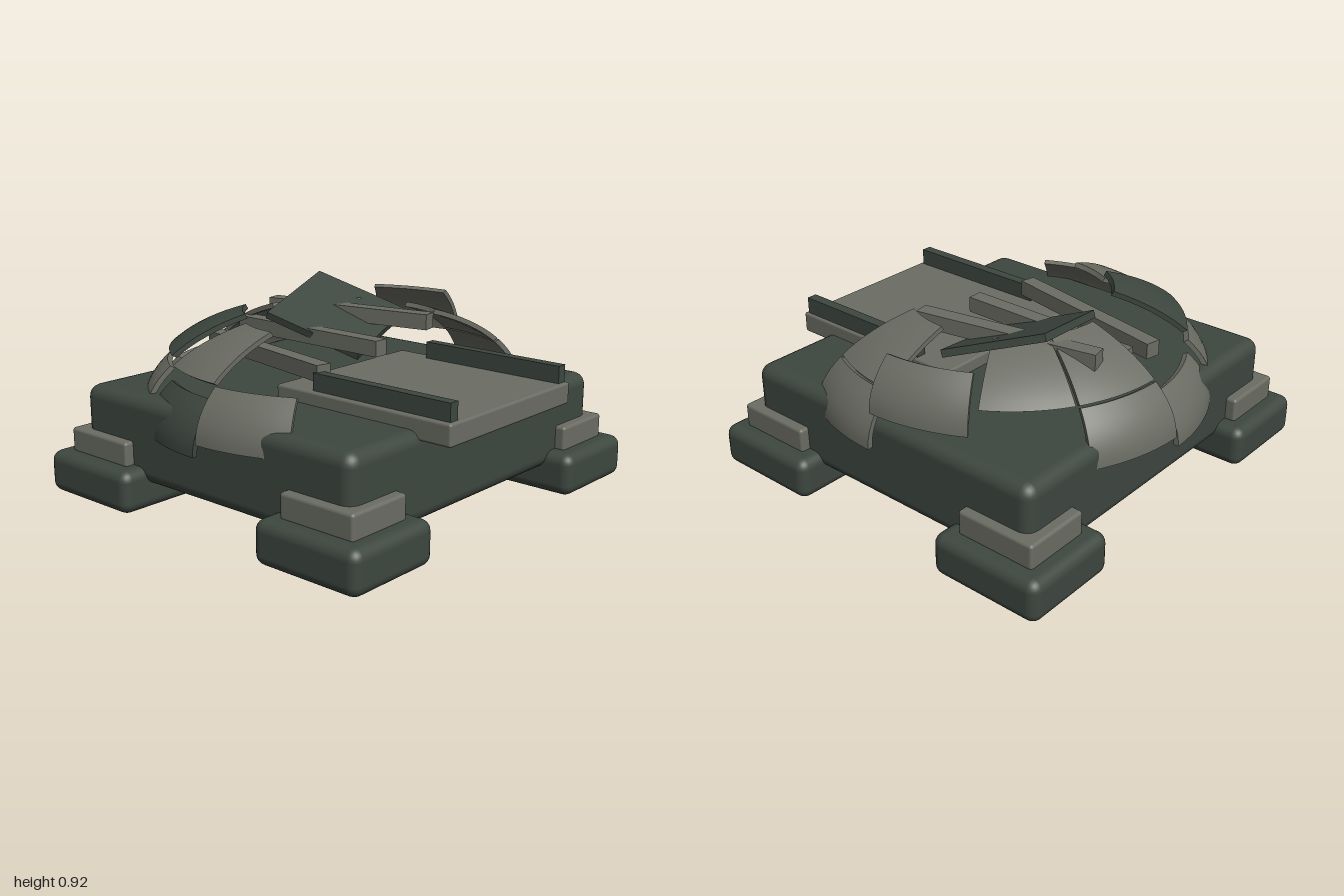
import * as THREE from 'three';
import { RoundedBoxGeometry } from 'three/addons/geometries/RoundedBoxGeometry.js';

const dark = new THREE.MeshStandardMaterial({ color: 0x3e4740 });
dark.name = 'darkGreenMetal';
const light = new THREE.MeshStandardMaterial({ color: 0x6b6d64 });
light.name = 'greyMetal';

// Squashed dome that all the shell panels are cut from
const DOME = { radius: 0.94, height: 0.47, base: 0.41, thickness: 0.025 };
const rad = THREE.MathUtils.degToRad;

// Bends a box into a dome panel: x -> azimuth, y -> latitude, z -> thickness
function panelGeometry(az0, az1, lat0, lat1) {
  const geo = new THREE.BoxGeometry(1, 1, 1, 10, 8, 1);
  const p = geo.attributes.position;
  for (let i = 0; i < p.count; i++) {
    const az = rad(az0 + (p.getX(i) + 0.5) * (az1 - az0));
    const lat = rad(lat0 + (p.getY(i) + 0.5) * (lat1 - lat0));
    const inset = (0.5 - p.getZ(i)) * DOME.thickness;
    const r = (DOME.radius - inset) * Math.cos(lat);
    const y = DOME.base + (DOME.height - inset) * Math.sin(lat);
    p.setXYZ(i, r * Math.cos(az), y, -r * Math.sin(az));
  }
  geo.computeVertexNormals();
  return geo;
}

export function createModel() {
  const model = new THREE.Group();
  model.name = 'brokenDomeBunker';

  const add = (name, geo, mat, x = 0, y = 0, z = 0, parent = model) => {
    const mesh = new THREE.Mesh(geo, mat);
    mesh.name = name;
    mesh.position.set(x, y, z);
    parent.add(mesh);
    return mesh;
  };
  const rounded = (w, h, d, r) => new RoundedBoxGeometry(w, h, d, 3, r);

  // Main slab
  add('base', rounded(1.75, 0.4, 1.64, 0.06), dark, 0, 0.32, -0.012);

  // Corner feet with a pad on each
  for (const sx of [-1, 1]) {
    for (const z of [0.662, -0.688]) {
      const end = z > 0 ? 'front' : 'back';
      add(end + 'Foot', rounded(0.49, 0.2, 0.555, 0.05), dark, sx * 0.755, 0.1, z);
      add(end + 'FootPad', rounded(0.33, 0.12, 0.39, 0.015), light, sx * 0.755, 0.25, z);
    }
  }

  // Entrance ramp with side rails
  add('ramp', rounded(0.89, 0.1, 0.96, 0.012), light, -0.005, 0.53, 0.48);
  for (const sx of [-1, 1]) {
    add('rail', new THREE.BoxGeometry(0.05, 0.08, 0.74), dark, sx * 0.402, 0.62, 0.57);
  }

  // Surviving dome panels: [start azimuth, end azimuth, upper row?, material, lift]
  const panels = [
    [-28, 0, false, light, 0],
    [-28, 0, true, light, 0],
    [1.2, 29.5, false, light, 0.185],
    [30.6, 59.4, true, light, 0],
    [60.6, 89.4, false, light, 0],
    [60.6, 89.4, true, light, 0],
    [90.6, 119.4, false, light, -0.055],
    [120.6, 149.4, false, light, 0],
    [120.6, 149.4, true, dark, 0.04],
    [151, 178.8, false, dark, -0.06],
    [151, 178.8, true, light, 0],
    [180, 208, false, light, 0],
  ];
  const dome = new THREE.Group();
  dome.name = 'brokenDome';
  model.add(dome);
  for (const [az0, az1, upper, mat, lift] of panels) {
    const geo = upper ? panelGeometry(az0, az1, 30.5, 60) : panelGeometry(az0, az1, 0, 29.5);
    add(upper ? 'upperPanel' : 'lowerPanel', geo, mat, 0, lift, 0, dome);
  }

  // Fallen beams, fanned out
  for (const [x, y, turn] of [[-0.295, 0.655, -0.195], [0, 0.7, 0], [0.285, 0.765, 0.195]]) {
    const beam = add('beam', new THREE.BoxGeometry(0.075, 0.075, 0.89), light, x, y, -0.215);
    beam.rotation.y = turn;
  }

  // Tilted roof plate
  const along = new THREE.Vector3(0.52, 0.12, -0.135).normalize();
  const across = new THREE.Vector3(0.15, -0.166, 0.455).normalize();
  const normal = new THREE.Vector3().crossVectors(across, along).normalize();
  across.crossVectors(along, normal);
  const plate = add('roofPlate', new THREE.BoxGeometry(0.55, 0.035, 0.5), dark, 0.222, 0.765, -0.235);
  plate.quaternion.setFromRotationMatrix(new THREE.Matrix4().makeBasis(along, normal, across));

  return model;
}
